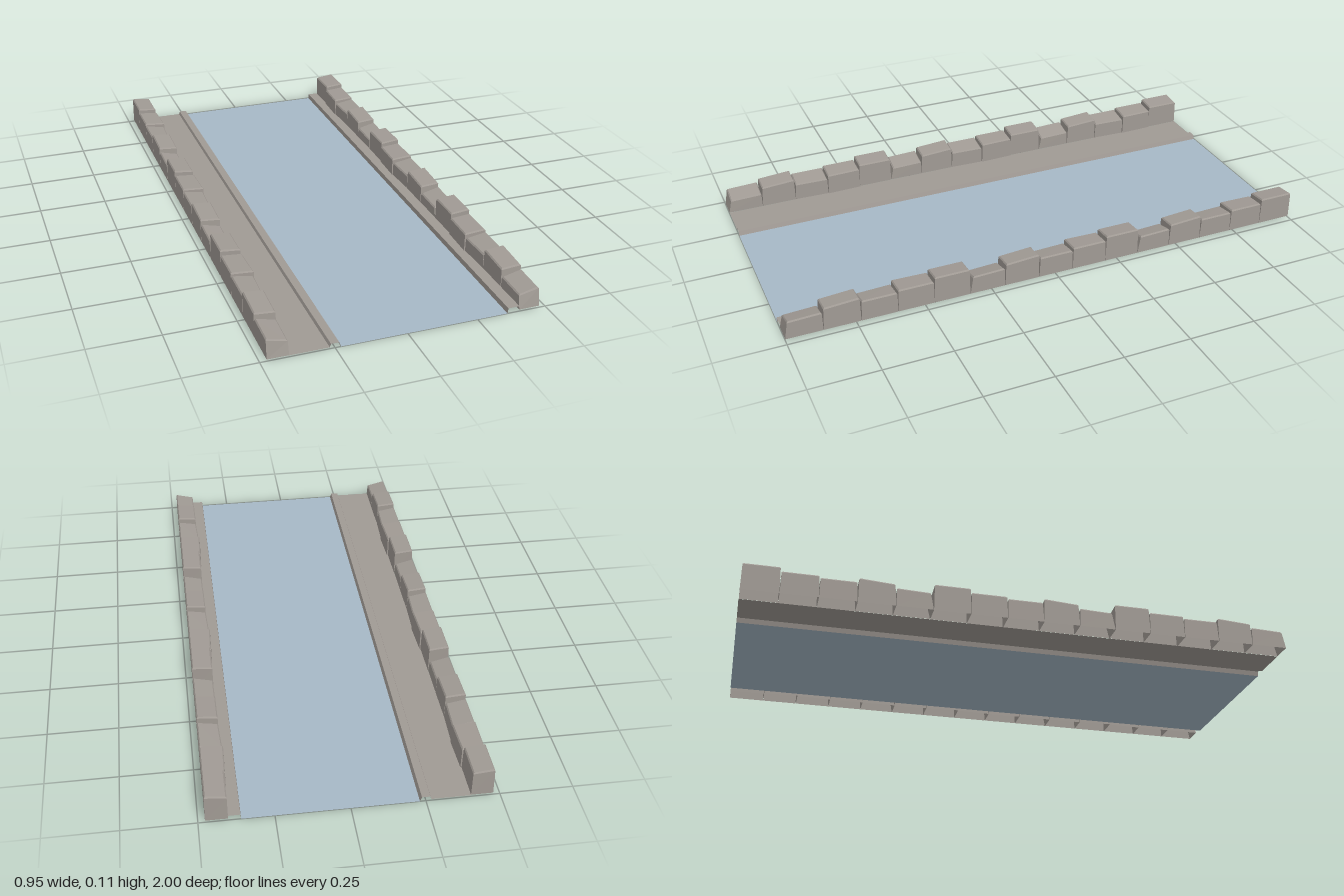
import * as THREE from 'three';

const stone = new THREE.MeshStandardMaterial({ color: 0xa09a94, side: THREE.DoubleSide, flatShading: true });
stone.name = 'grey stone';
const water = new THREE.MeshStandardMaterial({ color: 0xa6b8c6, side: THREE.DoubleSide });
water.name = 'pale blue water';

// Non-indexed geometry from quads, each a list of four corners
function quads(list) {
  const p = [];
  for (const [a, b, c, d] of list) p.push(...a, ...b, ...c, ...a, ...c, ...d);
  const g = new THREE.BufferGeometry();
  g.setAttribute('position', new THREE.Float32BufferAttribute(p, 3));
  g.computeVertexNormals();
  return g;
}

// Sheet swept along z from an x-y profile running left to right
function sheet(profile) {
  const faces = [];
  for (let i = 0; i + 1 < profile.length; i++) {
    const [x0, y0] = profile[i], [x1, y1] = profile[i + 1];
    faces.push([[x0, y0, 1], [x1, y1, 1], [x1, y1, -1], [x0, y0, -1]]);
  }
  return quads(faces);
}

// Edging stones: height at the front and back, drop towards the inside,
// inner edge at the front and back, lean of the front face
const KINDS = [
  { front: 0.073, back: 0.077, drop: 0.016, inFront: 0.403, inBack: 0.402, lean: 0.010 },
  { front: 0.092, back: 0.100, drop: 0.006, inFront: 0.402, inBack: 0.402, lean: 0.003 },
  { front: 0.084, back: 0.084, drop: 0.012, inFront: 0.402, inBack: 0.397, lean: 0.003 },
  { front: 0.092, back: 0.092, drop: 0.006, inFront: 0.394, inBack: 0.398, lean: 0.001 },
  { front: 0.108, back: 0.108, drop: 0.007, inFront: 0.402, inBack: 0.402, lean: 0.001 },
];
const COUNT = 15, STEP = 2 / COUNT, BASE = 0.006, BEVEL = 0.005;

function stoneGeometry(kind, z, side) {
  const { front, back, drop, inFront, inBack, lean } = kind;
  const zf = z, zb = z - STEP + 0.001, outer = 0.477;
  // Corner order: outer front, outer back, inner back, inner front
  const tops = [front, back, back - drop, front - drop];
  const ring = (inset, y) => [
    [outer - inset, y(0), zf - inset], [outer - inset, y(1), zb + inset],
    [inBack + inset, y(2), zb + inset], [inFront + inset, y(3), zf - inset],
  ];
  const rings = [ring(0, () => BASE), ring(0.001, (i) => tops[i] - BEVEL), ring(BEVEL, (i) => tops[i])];
  for (const r of [1, 2]) for (const i of [0, 3]) rings[r][i][2] -= lean;
  for (const r of rings) for (const v of r) v[0] *= side;

  // The underside stays open
  const faces = [];
  for (let r = 0; r < 2; r++) {
    for (let i = 0; i < 4; i++) {
      const j = (i + 1) % 4;
      faces.push([rings[r][i], rings[r][j], rings[r + 1][j], rings[r + 1][i]]);
    }
  }
  faces.push(rings[2]);
  return quads(side > 0 ? faces : faces.map((f) => [...f].reverse()));
}

export function createModel() {
  const model = new THREE.Group();
  model.name = 'canal';
  const add = (parent, name, geometry, material) => {
    const mesh = new THREE.Mesh(geometry, material);
    mesh.name = name;
    parent.add(mesh);
  };

  // Water, the wide footpath with its kerb, and the narrow ledge opposite
  add(model, 'water', sheet([[-0.23, 0], [0.36, 0]]), water);
  add(model, 'footpath', sheet([[-0.403, 0.005], [-0.268, 0.005], [-0.264, 0.017], [-0.236, 0.017], [-0.23, 0]]), stone);
  add(model, 'ledge', sheet([[0.36, 0], [0.362, 0.019], [0.403, 0.019]]), stone);

  // A row of uneven stones along each bank
  for (const side of [1, -1]) {
    const row = new THREE.Group();
    row.name = side > 0 ? 'leftStoneRow' : 'rightStoneRow';
    for (let i = 0; i < COUNT; i++) {
      add(row, 'edgingStone', stoneGeometry(KINDS[i % KINDS.length], 1 - i * STEP, side), stone);
    }
    model.add(row);
  }
  return model;
}
